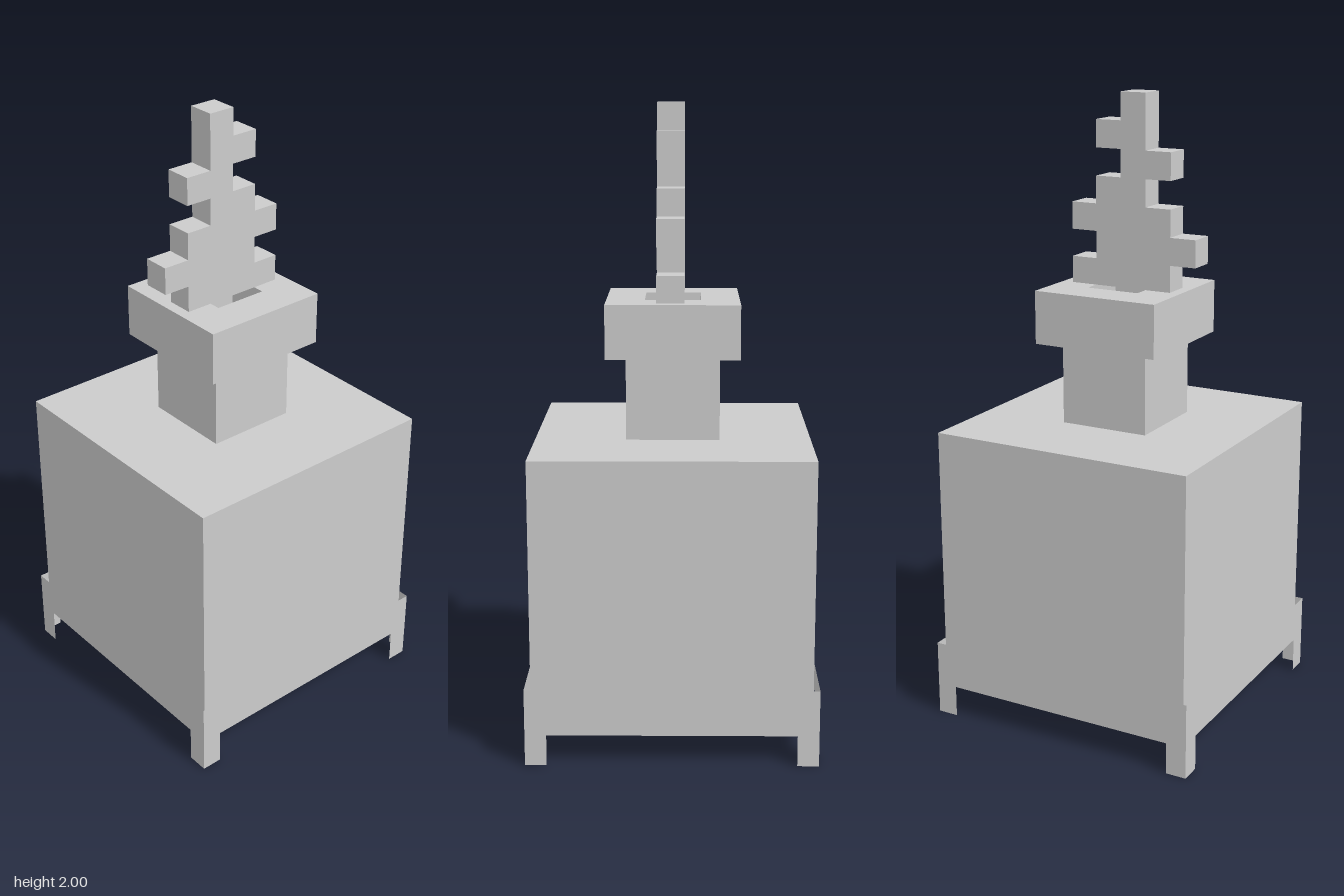
import * as THREE from 'three';

const material = new THREE.MeshStandardMaterial({ color: 0xcccccc, flatShading: true });
const thinMaterial = new THREE.MeshStandardMaterial({ color: 0xcccccc, flatShading: true, side: THREE.DoubleSide });

function polygon(points) {
  return new THREE.Shape(points.map(([x, y]) => new THREE.Vector2(x, y)));
}

function square(half) {
  return polygon([[-half, -half], [half, -half], [half, half], [-half, half]]);
}

function add(parent, name, geometry, mat = material) {
  const mesh = new THREE.Mesh(geometry, mat);
  mesh.name = name;
  parent.add(mesh);
  return mesh;
}

// Square block between two heights
function block(parent, name, width, bottom, top) {
  const height = top - bottom;
  add(parent, name, new THREE.BoxGeometry(width, height, width)).position.y = bottom + height / 2;
}

export function createModel() {
  const model = new THREE.Group();
  model.name = 'pottedPlantOnStand';

  // Stand: four thin panels, each cut out to leave a leg at both ends
  const stand = new THREE.Group();
  stand.name = 'stand';
  model.add(stand);
  const outer = 0.453, inner = 0.386, railBottom = 0.16, railTop = 0.245;
  const panel = new THREE.ShapeGeometry(polygon([
    [-outer, 0], [-inner, 0], [-inner, railBottom], [inner, railBottom],
    [inner, 0], [outer, 0], [outer, railTop], [-outer, railTop],
  ]));
  panel.translate(0, 0, outer);
  ['front', 'left', 'back', 'right'].forEach((side, i) => {
    add(stand, side + 'StandPanel', panel, thinMaterial).rotation.y = i * Math.PI / 2;
  });

  // Vase: cubic body, narrow neck and a wide rim with a square mouth
  block(model, 'vaseBody', 0.868, 0.09, 0.96);
  block(model, 'vaseNeck', 0.294, 0.96, 1.225);
  const rimShape = square(0.209);
  rimShape.holes.push(square(0.088));
  const rim = new THREE.ExtrudeGeometry(rimShape, { depth: 0.17, bevelEnabled: false });
  rim.rotateX(-Math.PI / 2);
  add(model, 'vaseRim', rim).position.y = 1.225;

  // Plant: stepped silhouette, one [first, last] column edge per row from the top
  const cell = 0.0867;
  const rows = [[-1, 0], [-1, 1], [-2, 0], [-1, 1], [-2, 2], [-3, 1], [-2, 2]];
  const leftSide = [], rightSide = [];
  rows.forEach(([a, b], i) => {
    const top = 2 - i * cell;
    const bottom = i === rows.length - 1 ? 1.395 : top - cell;
    leftSide.push([a * cell, top], [a * cell, bottom]);
    rightSide.push([b * cell, top], [b * cell, bottom]);
  });
  // Stem reaching down into the mouth
  leftSide.push([-cell, 1.395], [-cell, 1.225]);
  rightSide.push([0, 1.395], [0, 1.225]);
  const outline = polygon([...leftSide, ...rightSide.reverse()]);
  const plant = new THREE.ExtrudeGeometry(outline, { depth: cell, bevelEnabled: false });
  add(model, 'plant', plant).position.z = -0.036;

  return model;
}
